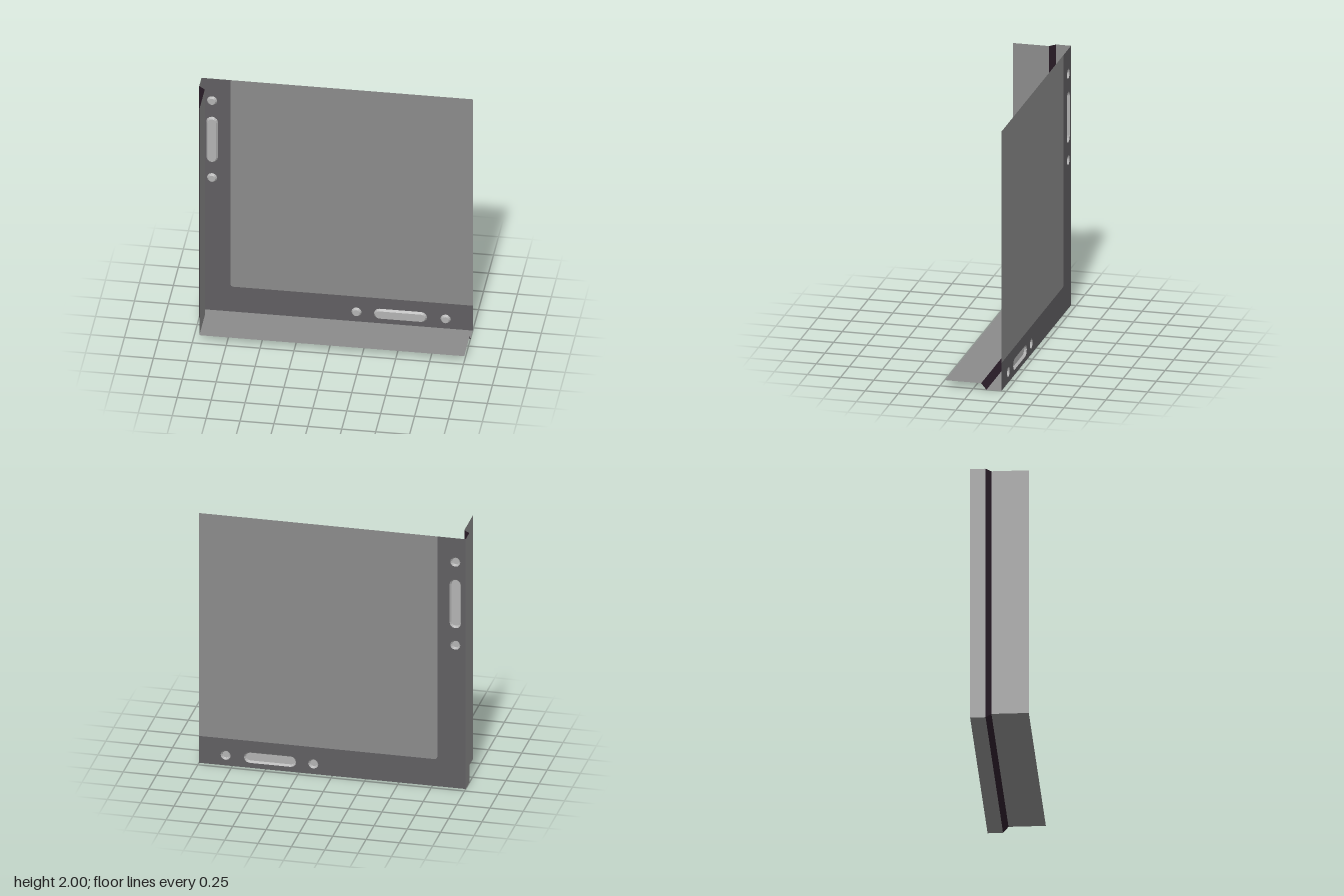
import * as THREE from 'three';

const flat = (name, color) => {
  const m = new THREE.MeshStandardMaterial({ color, side: THREE.DoubleSide });
  m.name = name;
  return m;
};

const BACK = -0.213, FRONT = 0.213;

// Outline of a slot with round ends; half = half the straight length
function capsule(cx, cy, half, r, vertical) {
  const pts = [];
  for (let end = 0; end < 2; end++) {
    for (let i = 0; i <= 6; i++) {
      const a = -Math.PI / 2 + Math.PI * (end + i / 6);
      const u = Math.cos(a) * r + (end ? -half : half);
      const v = Math.sin(a) * r;
      pts.push(vertical ? new THREE.Vector2(cx - v, cy + u) : new THREE.Vector2(cx + u, cy + v));
    }
  }
  return pts;
}

// Flat-shaded faces from a list of four-cornered loops
function quads(list) {
  const pos = [];
  for (const [a, b, c, d] of list) pos.push(...a, ...b, ...c, ...a, ...c, ...d);
  const g = new THREE.BufferGeometry();
  g.setAttribute('position', new THREE.Float32BufferAttribute(pos, 3));
  g.computeVertexNormals();
  return g;
}

// L-shaped wall strip, mitred at the corner; d = inset from the outer edge
function wallStrip([d0, z0], [d1, z1]) {
  const path = (d, z) => [[-1 + d, 2, z], [-1 + d, d, z], [1, d, z]];
  const p = path(d0, z0), q = path(d1, z1);
  return quads([0, 1].map(i => [p[i], p[i + 1], q[i + 1], q[i]]));
}

export function createModel() {
  const grey = flat('panelGrey', 0x8a8a8a);
  const frameGrey = flat('frameGrey', 0x605e61);
  const pale = flat('paleGrey', 0xb2b2b2);
  const dark = flat('darkGroove', 0x2a1d28);

  const group = new THREE.Group();
  const add = (name, geometry, material, z = 0) => {
    const m = new THREE.Mesh(geometry, material);
    m.name = name;
    m.position.z = z;
    group.add(m);
  };

  // Stepped side walls with a dark sloping groove
  const profile = [[0, BACK], [0, -0.1], [0.047, -0.06], [0.047, FRONT]];
  add('outerWall', wallStrip(profile[0], profile[1]), grey);
  add('groove', wallStrip(profile[1], profile[2]), dark);
  add('innerWall', wallStrip(profile[2], profile[3]), grey);

  // Pane with one rounded corner
  const px = -0.787, py = 0.215, pr = 0.025;
  const pane = new THREE.Shape();
  pane.moveTo(1, 2);
  pane.lineTo(px, 2);
  pane.lineTo(px, py + pr);
  pane.quadraticCurveTo(px, py, px + pr, py);
  pane.lineTo(1, py);
  add('pane', new THREE.ShapeGeometry(pane, 6), grey, BACK);

  // Frame border following the pane
  const frame = new THREE.Shape();
  frame.moveTo(-1, 2);
  frame.lineTo(-1, 0);
  frame.lineTo(1, 0);
  frame.lineTo(1, py);
  frame.lineTo(px + pr, py);
  frame.quadraticCurveTo(px, py, px, py + pr);
  frame.lineTo(px, 2);

  // Sunken lights: one long slot between two round ones on each side
  const lights = [
    [-0.922, 1.81, 0, true], [-0.922, 1.475, 0.153, true], [-0.922, 1.145, 0, true],
    [0.143, 0.082, 0, false], [0.467, 0.082, 0.153, false], [0.8, 0.082, 0, false],
  ];
  const depth = 0.018;
  for (const [x, y, half, vertical] of lights) {
    const r = half ? 0.043 : 0.038;
    const rim = capsule(x, y, half, r, vertical);
    const floor = capsule(x, y, half, r - 0.012, vertical);
    frame.holes.push(new THREE.Path(rim));
    const n = rim.length;
    const at = (p, z) => [p.x, p.y, z];
    add('lightRim', quads(rim.map((p, i) => {
      const j = (i + 1) % n;
      return [at(p, BACK), at(rim[j], BACK), at(floor[j], BACK + depth), at(floor[i], BACK + depth)];
    })), pale);
    add('lightFace', new THREE.ShapeGeometry(new THREE.Shape(floor)), pale, BACK + depth);
  }
  add('frame', new THREE.ShapeGeometry(frame, 6), frameGrey, BACK);

  return group;
}
